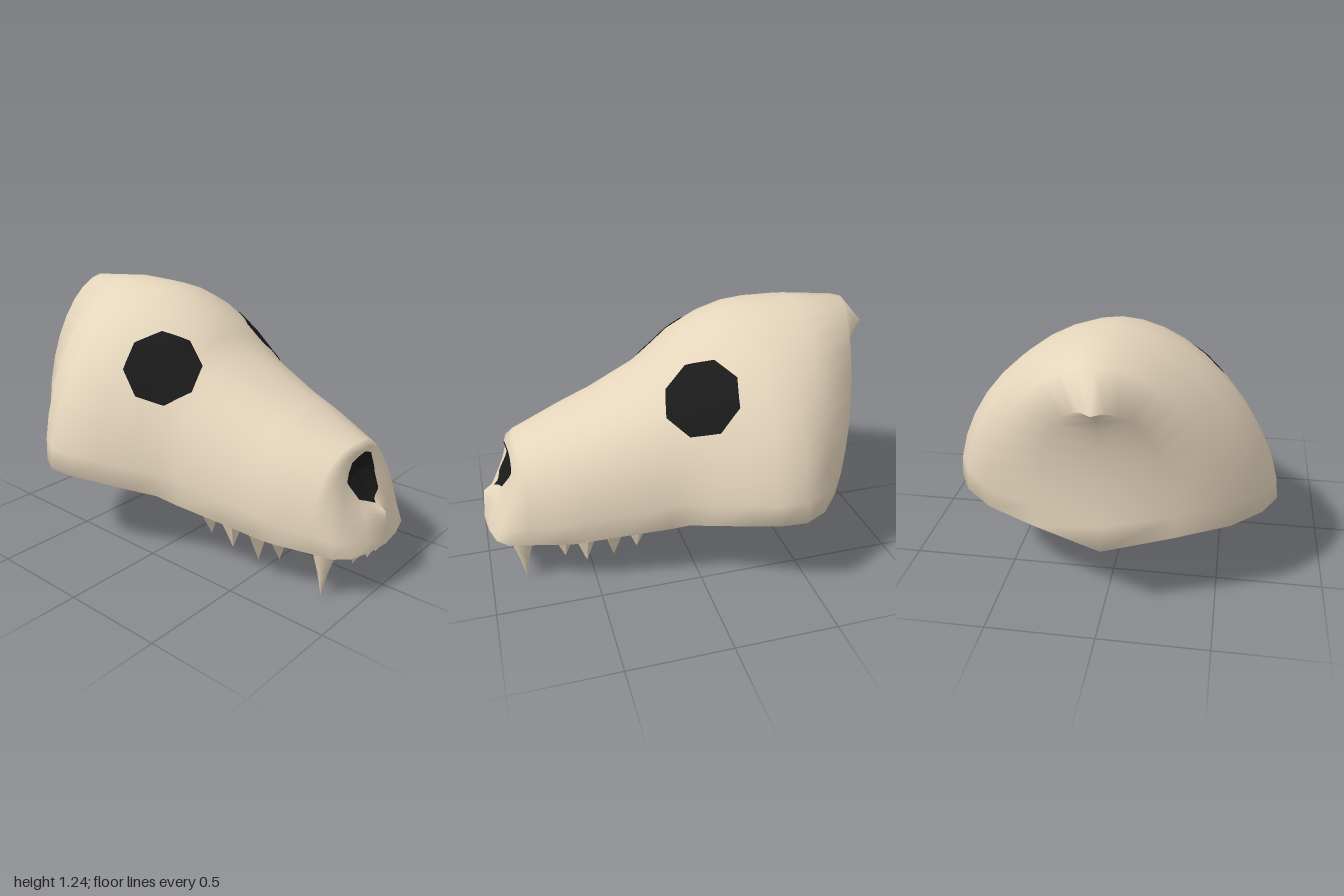
import * as THREE from 'three';
import { mergeVertices } from 'three/addons/utils/BufferGeometryUtils.js';

const bone = new THREE.MeshStandardMaterial({ color: 0xe5d5bc });
bone.name = 'bone';
const hollow = new THREE.MeshStandardMaterial({ color: 0x1a1a1a, side: THREE.DoubleSide });
hollow.name = 'dark hollow';

// Arched sections from muzzle tip to occiput:
// z at top, z halfway, z at rim, top height, rim height, half width, squareness
const SECTIONS = [
  [0.985, 0.99, 1.0, 0.385, 0.225, 0, 2],
  [0.89, 0.935, 0.985, 0.425, 0.225, 0.12, 2.2],
  [0.83, 0.865, 0.955, 0.55, 0.23, 0.23, 2.2],
  [0.86, 0.845, 0.9, 0.65, 0.235, 0.29, 2.2],
  [0.82, 0.8, 0.8, 0.67, 0.24, 0.32, 2.3],
  [0.66, 0.66, 0.66, 0.725, 0.253, 0.375, 2.35],
  [0.6, 0.6, 0.6, 0.75, 0.26, 0.395, 2.35],
  [0.54, 0.54, 0.54, 0.775, 0.27, 0.41, 2.35],
  [0.4, 0.4, 0.4, 0.83, 0.29, 0.437, 2.35],
  [0.16, 0.16, 0.16, 0.95, 0.33, 0.495, 2.3],
  [0.07, 0.07, 0.07, 1.03, 0.36, 0.53, 2.15],
  [-0.03, -0.03, -0.03, 1.13, 0.375, 0.585, 1.93],
  [-0.18, -0.18, -0.18, 1.2, 0.41, 0.68, 1.86],
  [-0.3, -0.3, -0.3, 1.235, 0.42, 0.73, 1.82],
  [-0.42, -0.42, -0.42, 1.245, 0.435, 0.757, 1.8],
  [-0.6, -0.57, -0.54, 1.25, 0.43, 0.69, 1.8],
  [-0.87, -0.77, -0.66, 1.225, 0.42, 0.55, 1.85],
  [-1.0, -0.81, -0.76, 1.08, 0.4, 0.31, 2],
  [-1.0, -0.84, -0.85, 1.08, 0.36, 0, 2],
];
const ARC = 10;

// Smooth surface through rows of points
function gridSurface(rows) {
  const n = rows[0].length;
  const index = [];
  for (let i = 0; i < rows.length - 1; i++) {
    for (let j = 0; j < n - 1; j++) {
      const a = i * n + j, b = a + 1, c = a + n, d = c + 1;
      index.push(a, b, c, b, d, c);
    }
  }
  const g = new THREE.BufferGeometry();
  g.setAttribute('position', new THREE.Float32BufferAttribute(rows.flat(2), 3));
  g.setIndex(index);
  const merged = mergeVertices(g, 1e-4);
  merged.computeVertexNormals();
  return merged;
}

// Edge of the egg-shaped opening in the underside
function openingEdge([, , zRim, , rim, w]) {
  const k = (zRim + 0.06) / 0.72;
  const x = Math.min((0.44 - 0.07 * k) * Math.sqrt(Math.max(0, 1 - k * k)), w * 0.85);
  return [x, rim + 0.03, Math.max(zRim, -0.78)];
}

// One side of a section: over the top, round the rim and in to the opening
function halfSection(s) {
  const [z0, z1, z2, top, rim, w, n] = s;
  const pts = [];
  for (let i = 0; i <= ARC; i++) {
    const t = i / ARC, a = t * Math.PI / 2;
    const z = z0 * 2 * (t - 0.5) * (t - 1) + z1 * 4 * t * (1 - t) + z2 * 2 * t * (t - 0.5);
    const c = i === ARC ? 0 : Math.cos(a);
    pts.push([w * Math.sin(a) ** (2 / n), rim + (top - rim) * c ** (2 / n), z]);
  }
  pts.push([w * 0.92, rim, z2], openingEdge(s));
  return pts;
}

function craniumGeometry() {
  return gridSurface(SECTIONS.map((s) => {
    const half = halfSection(s);
    const mirrored = half.slice(1).reverse().map(([x, y, z]) => [-x, y, z]);
    return [...mirrored, ...half];
  }));
}

// Dark vault above the opening
function vaultGeometry() {
  return gridSurface(SECTIONS.map((s) => {
    const [x, y, z] = openingEdge(s);
    return Array.from({ length: 13 }, (_, j) => {
      const a = j / 12 * Math.PI;
      return [x * Math.cos(a), y + 0.5 * x * Math.sin(a), z];
    });
  }));
}

// Thin octagonal patch laid on a surface, seen along its normal
function octagonPatch(surface, center, normal, corner, radius) {
  const n = normal.clone().normalize();
  const u = corner.clone().addScaledVector(n, -corner.dot(n)).normalize();
  const v = n.clone().cross(u);
  const ray = new THREE.Raycaster();
  const place = (p, q) => {
    const at = center.clone().addScaledVector(u, p).addScaledVector(v, q);
    ray.set(at.clone().addScaledVector(n, 2), n.clone().negate());
    const hit = ray.intersectObject(surface, false)[0];
    return (hit ? hit.point : at).clone().addScaledVector(n, 0.005).toArray();
  };
  const outline = [];
  for (let k = 0; k < 8; k++) {
    const a = k * Math.PI / 4, b = a + Math.PI / 4;
    for (let m = 0; m < 4; m++) {
      const f = m / 4;
      outline.push([Math.cos(a) * (1 - f) + Math.cos(b) * f, Math.sin(a) * (1 - f) + Math.sin(b) * f]);
    }
  }
  outline.push(outline[0]);
  const rows = [];
  for (let i = 8; i >= 0; i--) {
    rows.push(outline.map(([p, q]) => place(p * radius * i / 8, q * radius * i / 8)));
  }
  return gridSurface(rows);
}

// Round curved fang profile, or a flat four-sided point
function fangGeometry(radius, length) {
  const profile = [[1, 0], [0.8, 0.25], [0.42, 0.55], [0.01, 1]]
    .map(([r, y]) => new THREE.Vector2(r * radius, y * length));
  return new THREE.LatheGeometry(profile, 10);
}
function pointGeometry(radius, length) {
  const g = new THREE.ConeGeometry(radius, length, 4).toNonIndexed();
  g.translate(0, length / 2, 0);
  g.computeVertexNormals();
  return g;
}

// Tooth from base to tip
function tooth(name, base, tip, radius, shape) {
  const from = new THREE.Vector3(...base), to = new THREE.Vector3(...tip);
  const mesh = new THREE.Mesh(shape(radius, from.distanceTo(to)), bone);
  mesh.position.copy(from);
  mesh.quaternion.setFromUnitVectors(new THREE.Vector3(0, 1, 0), to.sub(from).normalize());
  mesh.name = name;
  return mesh;
}

export function createModel() {
  const group = new THREE.Group();
  group.name = 'animalSkull';
  const add = (name, geometry, material) => {
    const mesh = new THREE.Mesh(geometry, material);
    mesh.name = name;
    group.add(mesh);
    return mesh;
  };

  const cranium = add('cranium', craniumGeometry(), bone);
  add('innerVault', vaultGeometry(), hollow);

  // Nasal opening and eye sockets
  add('nasalOpening', octagonPatch(cranium, new THREE.Vector3(0, 0.525, 0.86),
    new THREE.Vector3(0, 0, 1), new THREE.Vector3(0, 1, 0), 0.116), hollow);
  for (const side of [1, -1]) {
    add(side > 0 ? 'leftEyeSocket' : 'rightEyeSocket', octagonPatch(cranium,
      new THREE.Vector3(side * 0.36, 0.93, -0.035), new THREE.Vector3(side * 0.59, 0.62, 0.52),
      new THREE.Vector3(side * 0.141, -0.121, -0.05), 0.187), hollow);
  }

  // Teeth, mirrored on both sides
  const teeth = new THREE.Group();
  teeth.name = 'teeth';
  const kinds = [
    ['fang', [0.25, 0.26, 0.835], [0.256, 0.01, 0.83], 0.056, fangGeometry],
    ['innerIncisor', [0.043, 0.24, 0.95], [0.04, 0.14, 0.93], 0.035, pointGeometry],
    ['outerIncisor', [0.13, 0.24, 0.925], [0.13, 0.145, 0.91], 0.042, pointGeometry],
    ['cheekTooth', [0.335, 0.27, 0.64], [0.318, 0.145, 0.64], 0.05, pointGeometry],
    ['cheekTooth', [0.36, 0.28, 0.54], [0.343, 0.115, 0.54], 0.056, pointGeometry],
    ['cheekTooth', [0.385, 0.3, 0.415], [0.37, 0.145, 0.41], 0.056, pointGeometry],
    ['cheekTooth', [0.41, 0.315, 0.3], [0.395, 0.19, 0.3], 0.052, pointGeometry],
  ];
  for (const [name, base, tip, radius, shape] of kinds) {
    for (const side of [1, -1]) {
      const flip = ([x, y, z]) => [side * x, y, z];
      teeth.add(tooth(name, flip(base), flip(tip), radius, shape));
    }
  }
  group.add(teeth);
  return group;
}
